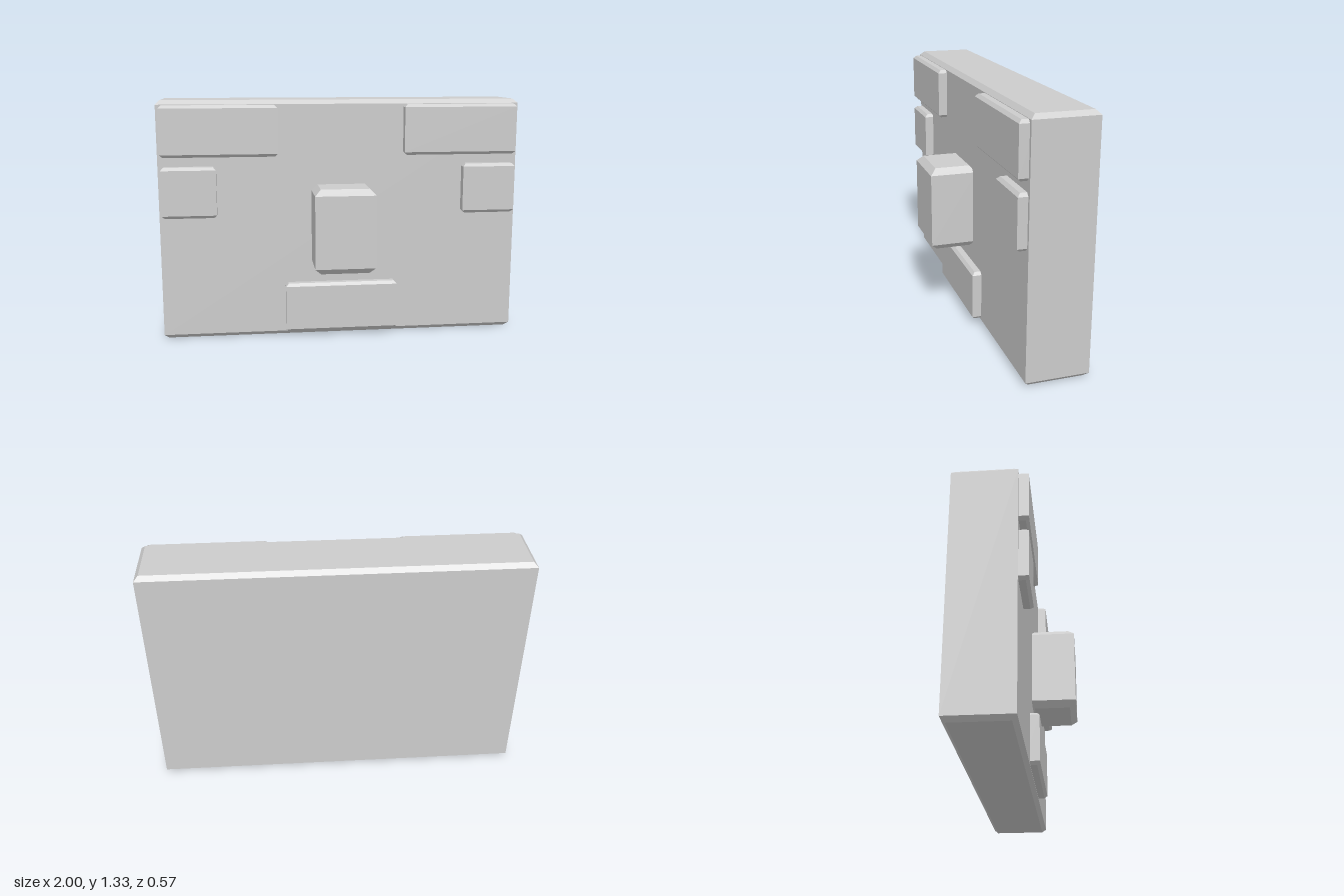
import * as THREE from 'three';

const material = new THREE.MeshStandardMaterial({ color: 0xcccccc, flatShading: true });

// Box given by its extents, with only the top and bottom rims chamfered
function chamferedBlock(name, [x0, x1], [y0, y1], [z0, z1], c) {
  const w = x1 - x0, h = y1 - y0, d = z1 - z0;
  const box = new THREE.BoxGeometry(w, h, d, 1, 3, 1);
  const p = box.attributes.position;
  for (let i = 0; i < p.count; i++) {
    const y = p.getY(i);
    if (Math.abs(y) > h / 2 - 1e-4) {
      // end rows: pull inwards
      p.setX(i, p.getX(i) - Math.sign(p.getX(i)) * c);
      p.setZ(i, p.getZ(i) - Math.sign(p.getZ(i)) * c);
    } else {
      // middle rows: slide out to the chamfer edge
      p.setY(i, Math.sign(y) * (h / 2 - c));
    }
  }
  const geometry = box.toNonIndexed();
  geometry.computeVertexNormals();
  const mesh = new THREE.Mesh(geometry, material);
  mesh.name = name;
  mesh.position.set((x0 + x1) / 2, (y0 + y1) / 2, (z0 + z1) / 2);
  return mesh;
}

export function createModel() {
  const group = new THREE.Group();
  group.name = 'blockFace';

  // Slab, with the nose and mouth on its centre line
  group.add(
    chamferedBlock('slab', [-1, 1], [0, 1.333], [-0.283, 0.05], 0.023),
    chamferedBlock('nose', [-0.165, 0.165], [0.403, 0.868], [0.03, 0.285], 0.033),
    chamferedBlock('mouth', [-0.315, 0.315], [0.03, 0.31], [0.02, 0.1], 0.016),
  );

  // Brows and eyes, mirrored on both sides
  for (const [side, s] of [['left', 1], ['right', -1]]) {
    const span = (a, b) => (s > 0 ? [a, b] : [-b, -a]);
    group.add(
      chamferedBlock(side + 'Brow', span(0.35, 0.983), [1.028, 1.308], [0.02, 0.1], 0.016),
      chamferedBlock(side + 'Eye', span(0.686, 0.983), [0.695, 0.975], [0.02, 0.1], 0.016),
    );
  }
  return group;
}
